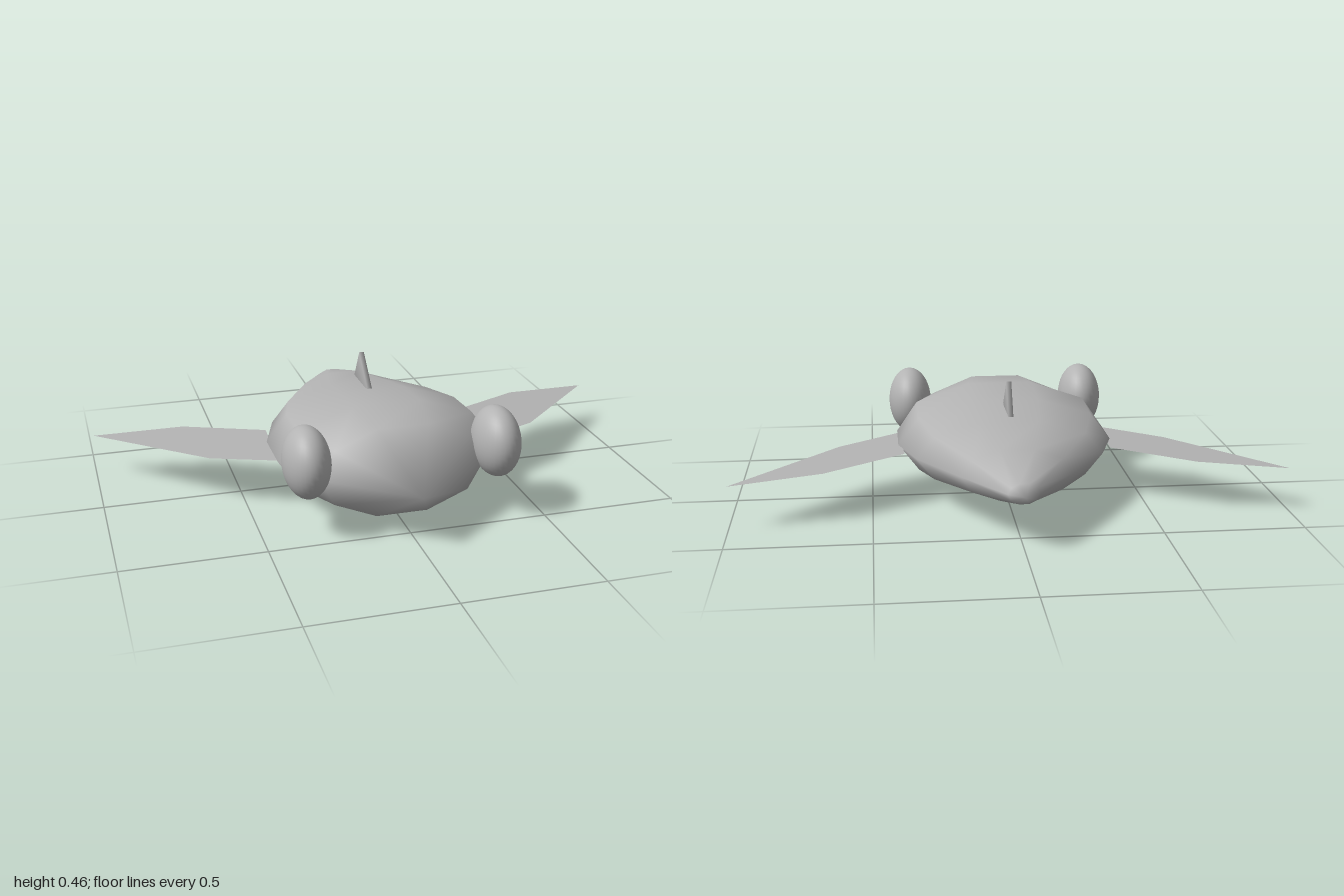
import * as THREE from 'three';
import { mergeVertices } from 'three/addons/utils/BufferGeometryUtils.js';

const grey = new THREE.MeshStandardMaterial({ color: 0xb3b3b3, side: THREE.DoubleSide });
grey.name = 'plain grey';

function mesh(name, geometry) {
  const m = new THREE.Mesh(geometry, grey);
  m.name = name;
  return m;
}

// Shared vertices give smooth normals across every edge
function smooth(geometry) {
  geometry.deleteAttribute('normal');
  geometry.deleteAttribute('uv');
  const merged = mergeVertices(geometry, 1e-4);
  merged.computeVertexNormals();
  return merged;
}

function fromPoints(points, index) {
  const g = new THREE.BufferGeometry();
  g.setAttribute('position', new THREE.Float32BufferAttribute(points.flat(), 3));
  g.setIndex(index);
  g.computeVertexNormals();
  return g;
}

// Ten-sided elliptical sections lofted from the nose to the tail
function bodyGeometry() {
  const sides = 10, midY = 0.193;
  const sections = [ // z, half width, half height
    [0.4, 0.3, 0.172], [0.21, 0.4, 0.19], [0.015, 0.4, 0.17],
    [-0.17, 0.34, 0.135], [-0.4, 0.195, 0.095], [-0.6, 0.055, 0.037],
  ];
  const points = [], index = [];
  for (const [z, rx, ry] of sections) {
    for (let k = 0; k < sides; k++) {
      const a = (k / sides) * Math.PI * 2;
      points.push([rx * Math.cos(a), midY + ry * Math.sin(a), z]);
    }
  }
  const nose = points.push([0, midY, 0.64]) - 1;
  const tail = points.push([0, midY, -0.64]) - 1;
  const last = (sections.length - 1) * sides;
  for (let k = 0; k < sides; k++) {
    const n = (k + 1) % sides;
    index.push(nose, k, n, tail, last + n, last + k);
    for (let r = 0; r < last; r += sides) {
      index.push(r + k, r + sides + k, r + n);
      index.push(r + n, r + sides + k, r + sides + n);
    }
  }
  return fromPoints(points, index);
}

// Thin swept side fin, drooping towards the tip
function sideFinGeometry(side) {
  const points = [
    [0.38, 0.192, -0.1], [0.67, 0.177, -0.26], [1, 0.157, -0.31],
    [0.62, 0.176, 0.07], [0.395, 0.19, 0.19],
  ].map(([x, y, z]) => [x * side, y, z]);
  const index = [];
  for (let i = 1; i < 4; i++) index.push(0, ...(side > 0 ? [i + 1, i] : [i, i + 1]));
  return fromPoints(points, index);
}

// Small triangular prism standing in the middle plane
function midFinGeometry(baseY, tipY) {
  const shape = new THREE.Shape([
    new THREE.Vector2(0.005, baseY), new THREE.Vector2(0.12, tipY), new THREE.Vector2(0.19, baseY),
  ]);
  const g = new THREE.ExtrudeGeometry(shape, { depth: 0.018, bevelEnabled: false });
  g.translate(0, 0, -0.009).rotateY(Math.PI / 2);
  return smooth(g);
}

export function createModel() {
  const model = new THREE.Group();
  model.name = 'fish';
  model.add(mesh('body', bodyGeometry()));
  model.add(mesh('topFin', midFinGeometry(0.345, 0.458)));
  model.add(mesh('bottomFin', midFinGeometry(0.04, 0)));

  for (const side of [1, -1]) {
    const label = side > 0 ? 'left' : 'right';
    // Bulging eyes, flattened sideways
    const eye = mesh(label + 'Eye', new THREE.SphereGeometry(0.127, 32, 20));
    eye.scale.x = 0.65;
    eye.position.set(side * 0.342, 0.268, 0.403);
    model.add(eye, mesh(label + 'SideFin', sideFinGeometry(side)));
  }
  return model;
}
